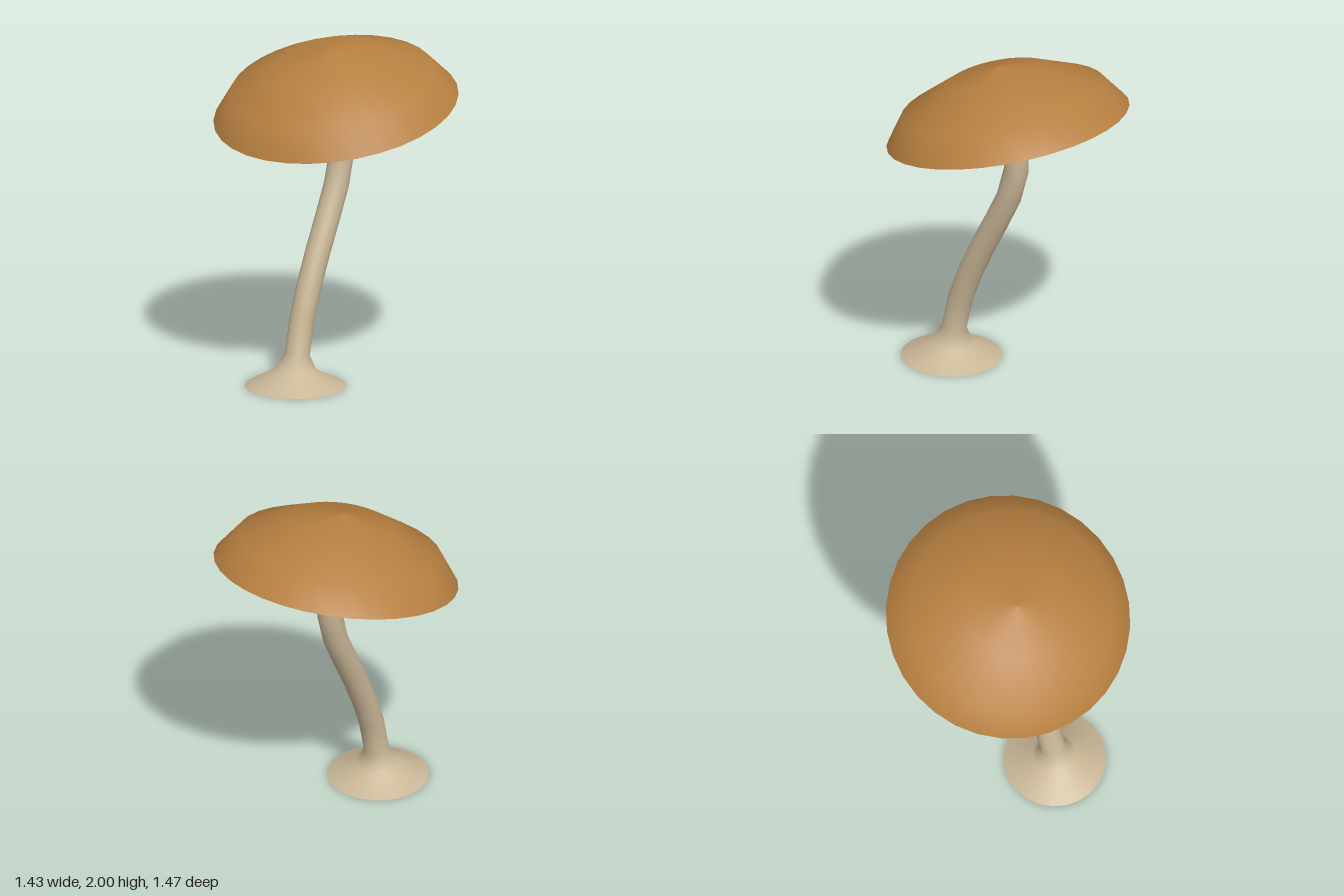
import * as THREE from 'three';

const mat = (name, color) => {
  const m = new THREE.MeshStandardMaterial({ color });
  m.name = name;
  return m;
};

// Tube in the xy plane with a radius per ring: [x, y, radius]
function stemGeometry(rings, sides) {
  const pos = [], index = [];
  rings.forEach(([x, y, r], i) => {
    const a = rings[Math.max(i - 1, 0)], b = rings[Math.min(i + 1, rings.length - 1)];
    const t = i === 0 ? new THREE.Vector2(0, 1)
      : new THREE.Vector2(b[0] - a[0], b[1] - a[1]).normalize();
    for (let j = 0; j < sides; j++) {
      const ang = (j / sides) * Math.PI * 2;
      const c = Math.cos(ang) * r;
      pos.push(x + t.y * c, y - t.x * c, Math.sin(ang) * r);
      if (i === rings.length - 1) continue;
      const p = i * sides + j, q = i * sides + (j + 1) % sides;
      index.push(p, p + sides, q, q, p + sides, q + sides);
    }
  });
  const g = new THREE.BufferGeometry();
  g.setAttribute('position', new THREE.Float32BufferAttribute(pos, 3));
  g.setIndex(index);
  g.computeVertexNormals();
  return g;
}

export function createModel() {
  const model = new THREE.Group();
  model.name = 'mushroom';
  const capBrown = mat('capBrown', 0xb67f40);
  const stemCream = mat('stemCream', 0xc8b696);
  const gillDark = mat('gillDark', 0x38271f);

  const add = (parent, name, geometry, material) => {
    const mesh = new THREE.Mesh(geometry, material);
    mesh.name = name;
    parent.add(mesh);
    return mesh;
  };
  const lathe = (points) =>
    new THREE.LatheGeometry(points.map(([r, y]) => new THREE.Vector2(r, y)), 32);

  // Tilted cap, its rim plane at local y = 0
  const cap = new THREE.Group();
  cap.name = 'cap';
  cap.position.y = 1.625;
  cap.rotation.z = 0.226;
  model.add(cap);
  add(cap, 'capTop', lathe([[0.736, 0], [0.616, 0.168], [0.313, 0.314], [0, 0.376]]), capBrown);

  // Hollow underside: cream centre, dark gills, cream rim
  add(cap, 'undersideCentre', lathe([[0, 0.13], [0.245, 0.122]]), stemCream);
  add(cap, 'gills', lathe([[0.245, 0.122], [0.46, 0.088], [0.65, 0.04]]), gillDark);
  add(cap, 'undersideRim', lathe([[0.65, 0.04], [0.7, 0.025], [0.736, 0]]), stemCream);

  // Curved stem with a flared foot
  const rings = [
    [-0.41, 0, 0.306], [-0.402, 0.095, 0.124], [-0.392, 0.19, 0.075],
    [-0.345, 0.395, 0.075], [-0.27, 0.593, 0.075], [-0.18, 0.785, 0.075],
    [-0.087, 0.965, 0.075], [0.005, 1.152, 0.075], [0.06, 1.347, 0.075],
    [0.06, 1.57, 0.075], [-0.005, 1.8, 0.075],
  ];
  add(model, 'stem', stemGeometry(rings, 24), stemCream);
  const foot = add(model, 'footBottom', new THREE.CircleGeometry(0.306, 24), stemCream);
  foot.rotation.x = Math.PI / 2;
  foot.position.x = -0.41;

  return model;
}
